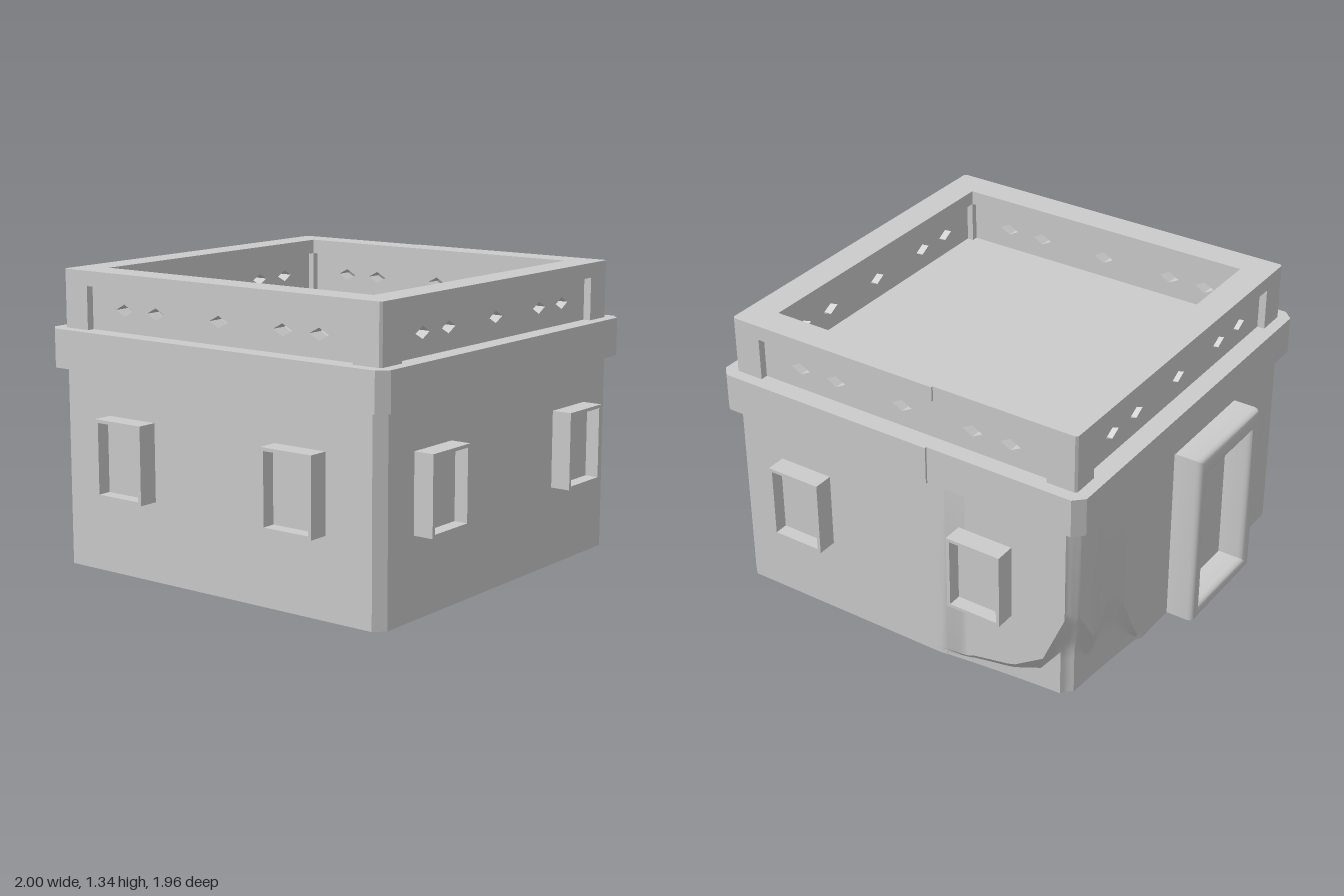
import * as THREE from 'three';
import { toCreasedNormals } from 'three/addons/utils/BufferGeometryUtils.js';

const solid = new THREE.MeshStandardMaterial({ color: 0xcccccc });
const thin = new THREE.MeshStandardMaterial({ color: 0xcccccc, side: THREE.DoubleSide });

function add(parent, name, geometry, x = 0, y = 0, z = 0, material = solid) {
  const mesh = new THREE.Mesh(geometry, material);
  mesh.name = name;
  mesh.position.set(x, y, z);
  parent.add(mesh);
}

const polygon = (pts) => pts.map(([x, y]) => new THREE.Vector2(x, y));
const rect = (x0, x1, y0, y1) => polygon([[x0, y0], [x1, y0], [x1, y1], [x0, y1]]);

// Upright plate in the local xy plane with openings cut through it
function plate(outer, holes, depth, bevel = { bevelEnabled: false }) {
  const shape = new THREE.Shape(outer);
  holes.forEach((h) => shape.holes.push(new THREE.Path(h)));
  return new THREE.ExtrudeGeometry(shape, { depth, ...bevel });
}

// Flat slab lying in the xz plane
const slab = (outer, holes, height) => plate(outer, holes, height).rotateX(-Math.PI / 2);

// Chamfered square; the back edge has a slight step where two sections meet
function outline(h, c, step = 0) {
  const pts = [[c - h, -h], [h - c, -h], [h, c - h], [h, h - c], [h - c, h]];
  if (step) pts.push([-0.18, h], [-0.18, h - step]);
  pts.push([c - h, h - step], [-h, h - c - step], [-h, c - h]);
  return polygon(pts);
}

const HALF = 0.885, INNER = 0.73, RAIL = 0.87, LEDGE_BOTTOM = 0.9, ROOF = 1.075, PANEL_TOP = 1.27;

// Height of the broken area by signed distance around the back corner
const DAMAGE = [[-0.65, 0], [-0.5, 0.06], [-0.3, 0.1], [-0.15, 0.2], [-0.03, 0.48], [0.05, 0.45],
  [0.17, 0.26], [0.28, 0.42], [0.37, 0.36], [0.45, 0.2], [0.55, 0]];
function damageHeight(t) {
  for (let i = 1; i < DAMAGE.length; i++) {
    const [a, ha] = DAMAGE[i - 1], [b, hb] = DAMAGE[i];
    if (t >= a && t <= b) return ha + ((hb - ha) * (t - a)) / (b - a);
  }
  return 0;
}

// Ring of wall points; v runs from the ground (0) to the upper edge of the damage (1)
function wallRing(v) {
  const pts = outline(HALF, 0.045), ring = [];
  pts.forEach((p, i) => {
    const q = pts[(i + 1) % pts.length];
    const n = p.distanceTo(q) > 0.2 ? 48 : 4;
    for (let k = 0; k < n; k++) {
      const x = p.x + ((q.x - p.x) * k) / n, z = -p.y - ((q.y - p.y) * k) / n;
      const t = z - x;
      const height = x + z < -0.3 ? damageHeight(t) : 0;
      const depth = height ? 0.08 * Math.min(1, (1 - v) * 2) * (1 - Math.abs(t) / 0.7) : 0;
      const s = 1 - depth / Math.hypot(x, z);
      ring.push([x * s, v * Math.max(height, 0.04), z * s]);
    }
  });
  return ring;
}

// Surface through a stack of closed rings
function loft(rings) {
  const n = rings[0].length, index = [];
  for (let j = 0; j < rings.length - 1; j++) {
    for (let i = 0; i < n; i++) {
      const a = j * n + i, b = j * n + ((i + 1) % n);
      index.push(a, b, b + n, a, b + n, a + n);
    }
  }
  const g = new THREE.BufferGeometry();
  g.setAttribute('position', new THREE.Float32BufferAttribute(rings.flat(2), 3));
  g.setIndex(index);
  return toCreasedNormals(g, 0.5);
}

function wallShell() {
  const rings = Array.from({ length: 9 }, (_, j) => wallRing(j / 8));
  rings.push(wallRing(1).map(([x, , z]) => [x, ROOF - 0.005, z]));
  return loft(rings);
}

function wallFoot() {
  const shape = new THREE.Shape(polygon(wallRing(0).map(([x, , z]) => [x, z])));
  shape.holes.push(new THREE.Path(rect(-INNER, INNER, -INNER, INNER)));
  return new THREE.ShapeGeometry(shape).rotateX(Math.PI / 2);
}

// Chamfered parapet post in the corner given by two signs
function post(sx, sy) {
  const h = sx < 0 && sy > 0 ? RAIL - 0.01 : RAIL;
  const pts = [[INNER, INNER], [RAIL, INNER], [RAIL, h - 0.01], [RAIL - 0.01, h], [INNER, h]];
  return slab(polygon(pts.map(([x, y]) => [x * sx, y * sy])), [], PANEL_TOP - ROOF);
}

function pane(parent, name, [x0, x1, y0, y1], z) {
  add(parent, name, new THREE.PlaneGeometry(x1 - x0, y1 - y0), (x0 + x1) / 2, (y0 + y1) / 2, z, thin);
}

export function createModel() {
  const model = new THREE.Group();
  model.name = 'flatRoofHouse';
  const house = new THREE.Group();
  house.name = 'house';
  house.position.x = 0.02;
  model.add(house);

  // Walls, ceiling and underside
  add(house, 'outerWalls', wallShell(), 0, 0, 0, thin);
  add(house, 'wallFoot', wallFoot());
  add(house, 'ceiling', new THREE.PlaneGeometry(2 * HALF, 2 * HALF).rotateX(Math.PI / 2), 0, 1.06, 0);

  // Ledge band, open below, with the roof floor on top
  const ledge = outline(0.925, 0.045, 0.01);
  add(house, 'ledgeBand', loft([LEDGE_BOTTOM, ROOF].map((y) => ledge.map((p) => [p.x, y, -p.y]))));
  add(house, 'roofFloor', new THREE.ShapeGeometry(new THREE.Shape(ledge)).rotateX(-Math.PI / 2), 0, ROOF, 0);

  // Rail and corner posts of the parapet
  const railHole = rect(-INNER, INNER, -INNER, INNER);
  add(house, 'parapetRail', slab(outline(RAIL, 0.01, 0.01), [railHole], 0.067), 0, PANEL_TOP, 0);
  for (const sx of [-1, 1]) {
    for (const sy of [-1, 1]) add(house, 'parapetPost', post(sx, sy), 0, ROOF, 0);
  }

  // Each side faces local +z: front, right, back, left
  const sides = [
    { name: 'front', flip: 1, windows: [-0.46, 0.473] },
    { name: 'east', flip: 1, windows: [-0.53, 0.53] },
    { name: 'back', flip: -1, windows: [0.445, -0.5] },
    { name: 'west', flip: -1, windows: [] },
  ];
  sides.forEach(({ name, flip, windows }, turn) => {
    const side = new THREE.Group();
    side.name = name + 'Side';
    side.rotation.y = (turn * Math.PI) / 2;
    house.add(side);

    // Parapet panel, set back on both faces, with diamond openings
    const diamonds = [-0.54, -0.355, 0, 0.345, 0.535].map((d) => {
      const x = d * flip, y = 1.173;
      return polygon([[x - 0.05, y], [x, y - 0.027], [x + 0.05, y], [x, y + 0.027]]);
    });
    add(side, 'parapetPanel', plate(rect(-INNER, INNER, ROOF, PANEL_TOP), diamonds, 0.075), 0, 0, 0.76);

    // Windows: frames standing out on both faces of the wall
    for (const x of windows) {
      const hole = [x - 0.116, x + 0.116, 0.375, 0.695];
      const frame = plate(rect(x - 0.132, x + 0.132, 0.36, 0.71), [rect(...hole)], 0.175);
      add(side, 'windowFrame', frame, 0, 0, HALF - 0.082);
      pane(side, 'windowPane', hole, HALF + 0.03);
      pane(side, 'innerWindowPane', hole, HALF - 0.04);
    }

    // Pilasters on the inside of the wall
    for (const x of [-0.16, 0.16]) {
      add(side, 'innerPilaster', new THREE.BoxGeometry(0.15, 1.05, 0.15), x, 0.53, INNER + 0.077);
    }

    // Softly rounded door frame
    if (name === 'west') {
      const hole = [-0.03, 0.38, 0.06, 0.76];
      const bevel = { bevelThickness: 0.03, bevelSize: 0.02, bevelOffset: -0.02, bevelSegments: 3 };
      const frame = plate(rect(-0.09, 0.44, 0, 0.85), [rect(...hole)], 0.105, bevel);
      add(side, 'doorFrame', toCreasedNormals(frame, 0.8), 0, 0, HALF);
      pane(side, 'doorPane', hole, HALF + 0.005);
    }
  });
  return model;
}
